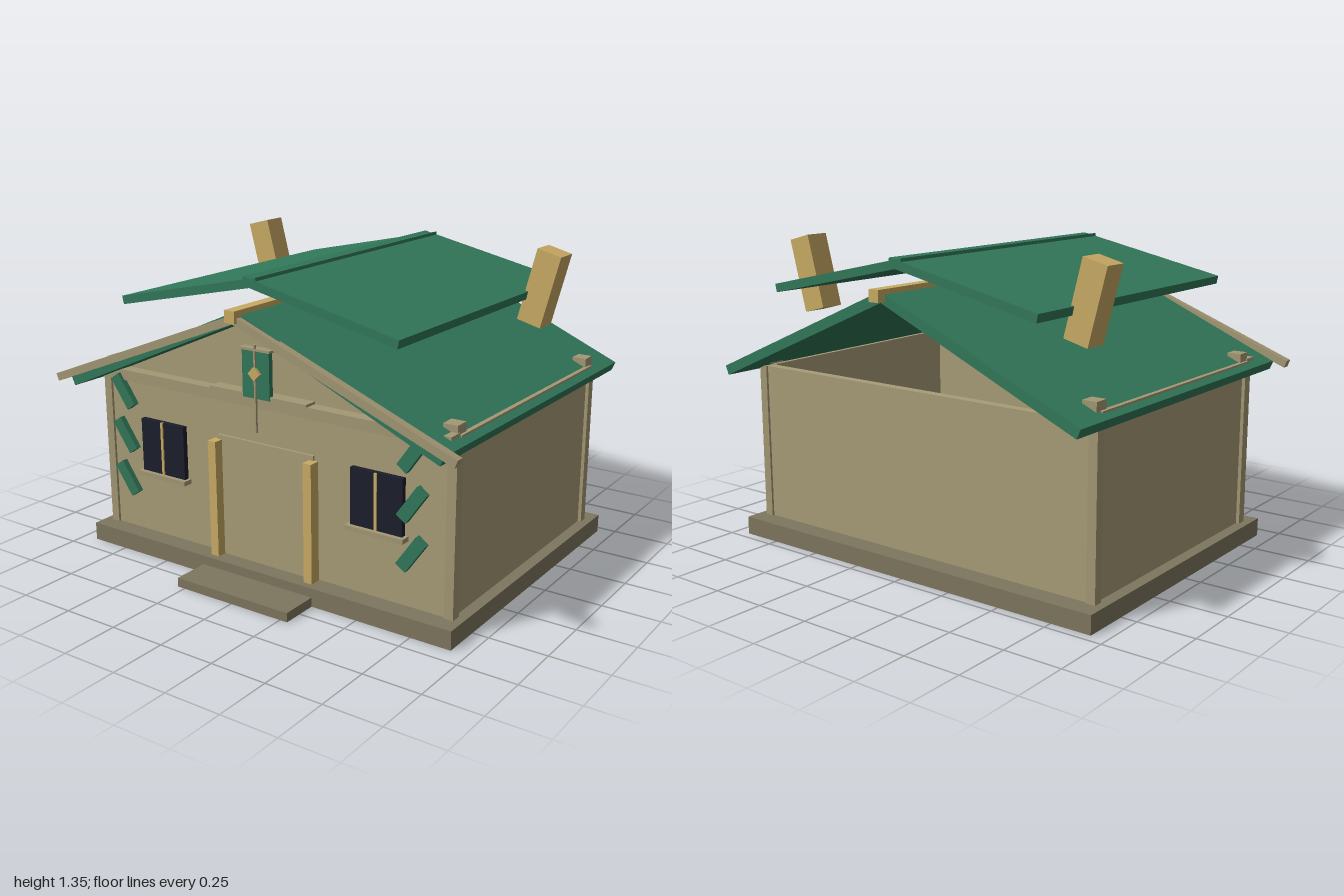
import * as THREE from 'three';

const mat = (color) => new THREE.MeshStandardMaterial({ color, flatShading: true, roughness: 0.9 });

export function createModel() {
  const model = new THREE.Group();
  model.name = 'cottage';
  const wall = mat(0xa89d78), trim = mat(0xa39874), stone = mat(0x7e765e);
  const green = mat(0x32785a), wood = mat(0xc9ab64), glass = mat(0x1b1d2b);

  // Box given by its extents on each axis
  function box(name, material, [x0, x1], [y0, y1], [z0, z1]) {
    const mesh = new THREE.Mesh(new THREE.BoxGeometry(x1 - x0, y1 - y0, z1 - z0), material);
    mesh.position.set((x0 + x1) / 2, (y0 + y1) / 2, (z0 + z1) / 2);
    mesh.name = name;
    model.add(mesh);
    return mesh;
  }

  // The same box on both sides of x = 0, turned by opposite angles
  function pair(name, material, [x0, x1], ys, zs, angle = 0) {
    box(name + 'Left', material, [x0, x1], ys, zs).rotation.z = angle;
    box(name + 'Right', material, [-x1, -x0], ys, zs).rotation.z = -angle;
  }

  // Sloping boards whose top edge runs from (xa, ya) to (xb, yb)
  function slopes(name, material, [xa, ya], [xb, yb], thick, zs) {
    const angle = Math.atan2(yb - ya, xb - xa);
    const half = Math.hypot(xb - xa, yb - ya) / 2;
    const cx = (xa + xb) / 2 + Math.sin(angle) * thick / 2;
    const cy = (ya + yb) / 2 - Math.cos(angle) * thick / 2;
    pair(name, material, [cx - half, cx + half], [cy - thick / 2, cy + thick / 2], zs, angle);
  }

  // Base and doorstep
  box('base', stone, [-0.93, 0.93], [0, 0.08], [-0.71, 0.67]);
  box('doorstep', stone, [-0.285, 0.285], [0, 0.04], [0.67, 0.835]);

  // Walls, open under the rear of the roof
  box('frontWall', wall, [-0.88, 0.88], [0.08, 0.78], [0.545, 0.585]);
  box('backWall', wall, [-0.88, 0.88], [0.08, 0.775], [-0.62, -0.58]);
  pair('sideWall', wall, [0.84, 0.88], [0.08, 0.78], [-0.58, 0.545]);
  pair('frontCornerPost', trim, [0.855, 0.895], [0.08, 0.775], [0.55, 0.596]);
  pair('backCornerPost', trim, [0.855, 0.895], [0.08, 0.775], [-0.63, -0.588]);
  pair('wallPlate', trim, [0.868, 0.897], [0.775, 0.818], [-0.6, 0.57]);
  box('frontBeam', trim, [-0.89, 0.89], [0.78, 0.827], [0.57, 0.635]);
  box('gableShelf', trim, [-0.245, 0.245], [0.827, 0.838], [0.57, 0.64]);

  // Front gable
  const gableShape = new THREE.Shape([[-0.87, 0.775], [0.87, 0.775], [0, 1.158]].map((p) => new THREE.Vector2(...p)));
  const gable = new THREE.Mesh(new THREE.ExtrudeGeometry(gableShape, { depth: 0.03, bevelEnabled: false }), wall);
  gable.position.z = 0.55;
  gable.name = 'frontGable';
  model.add(gable);

  // Main roof, raised upper roof and front bargeboards
  slopes('roof', green, [-0.005, 1.202], [0.93, 0.795], 0.042, [-0.795, 0.755]);
  slopes('upperRoof', green, [-0.03, 1.32], [0.685, 1.165], 0.036, [-0.71, 0.67]);
  slopes('bargeboard', trim, [0, 1.19], [0.998, 0.803], 0.034, [0.745, 0.78]);
  box('ridgeBeam', wood, [-0.025, 0.025], [1.16, 1.21], [-0.835, 0.795]);

  // Leaning chimneys and small roof blocks
  pair('chimney', wood, [0.677, 0.79], [1.02, 1.345], [-0.48, -0.37], -0.256);
  pair('frontRoofBlock', trim, [0.822, 0.885], [0.79, 0.855], [0.515, 0.58]);
  pair('backRoofBlock', trim, [0.822, 0.885], [0.79, 0.855], [-0.625, -0.56]);

  // Door and its posts
  box('door', wall, [-0.245, 0.245], [0.08, 0.615], [0.58, 0.597]);
  pair('doorPost', wood, [0.225, 0.265], [0.08, 0.595], [0.59, 0.64]);

  // Windows
  pair('windowPane', glass, [0.43, 0.67], [0.372, 0.612], [0.58, 0.608]);
  pair('windowBar', wood, [0.544, 0.556], [0.372, 0.612], [0.6, 0.614]);
  pair('windowSill', trim, [0.415, 0.685], [0.354, 0.374], [0.58, 0.628]);

  // Slanted slats beside the windows
  for (const y of [0.733, 0.533, 0.332]) {
    pair('slat', green, [0.655, 0.811], [y - 0.026, y + 0.026], [0.624, 0.65], 0.96);
  }

  // Gable ornament: panel, cap, diamond and hanging rod
  box('gablePanel', green, [-0.068, 0.068], [0.822, 1.02], [0.62, 0.642]);
  box('gablePanelCap', trim, [-0.077, 0.077], [1.02, 1.03], [0.615, 0.65]);
  box('gableDiamond', wood, [-0.021, 0.021], [0.906, 0.948], [0.635, 0.656]).rotation.z = Math.PI / 4;
  box('hangingRodUpper', trim, [-0.004, 0.004], [0.83, 1.045], [0.64, 0.65]);
  box('hangingRodLower', trim, [-0.004, 0.004], [0.68, 0.83], [0.64, 0.65]);

  return model;
}
